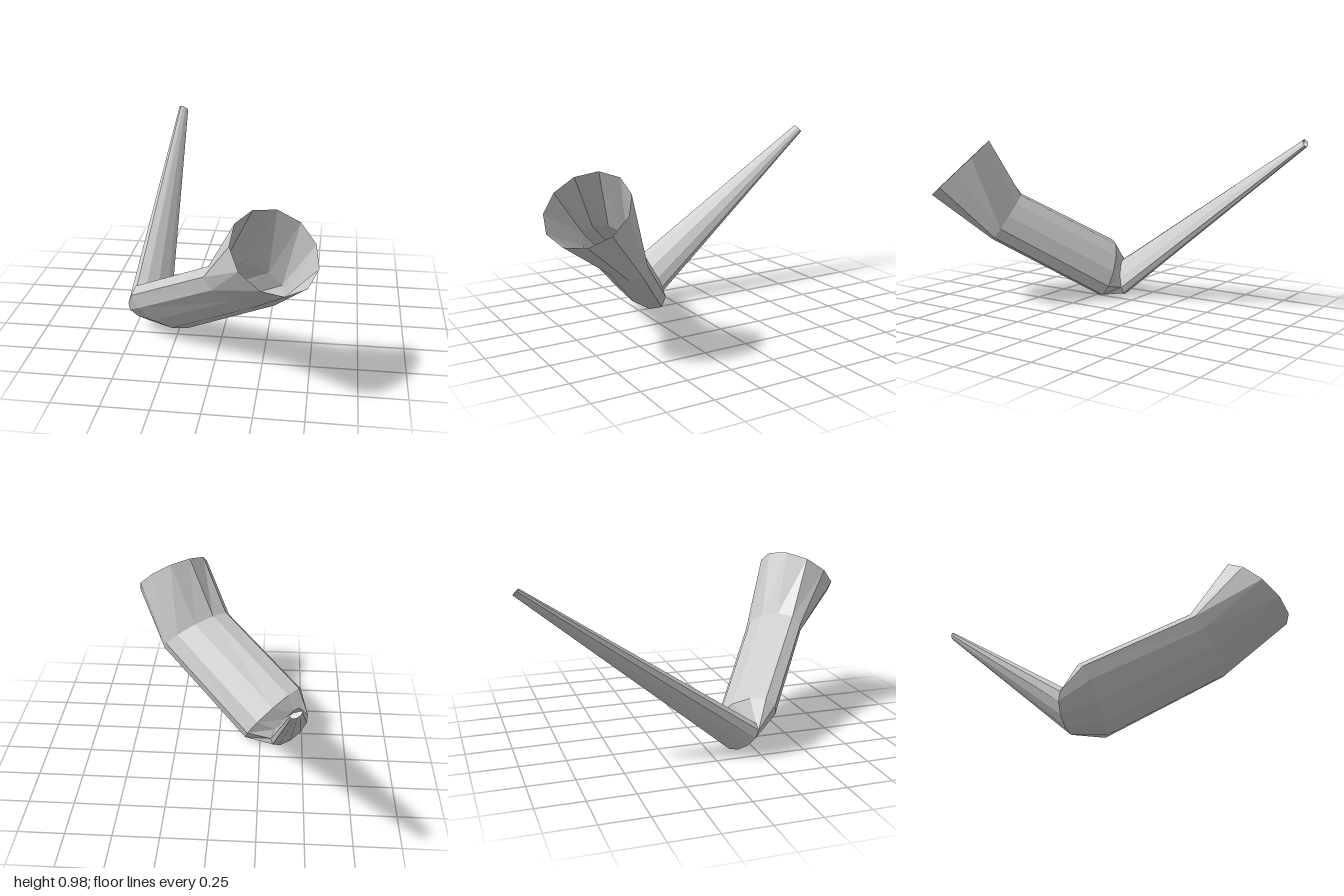
import * as THREE from 'three';

const SIDES = 11;

// Elliptical cross-sections: centre c, wide half-axis u, narrow half-axis v,
// and turn, the offset of the corners in fractions of a side
const mouth = { c: [0.327, 0.791, 0.806], u: [0.205, -0.057, -0.082], v: [-0.03, 0.144, -0.173], turn: 0.05 };
const elbow = { c: [0.165, 0.508, 0.595], u: [0.196, -0.082, -0.079], v: [0, 0.08, -0.072], turn: 0.22 };
const heel = { c: [-0.322, 0.163, 0.23], u: [0.163, -0.12, -0.095], v: [0, 0.08, -0.073], turn: 0.22 };
const stemBase = { c: [-0.423, 0.095, 0.165], u: [0.107, -0.03, -0.045], v: [-0.025, 0.088, 0.035], turn: 0.22 };
const stemTip = { c: [-0.412, 0.962, -0.985], u: [0.027, -0.009, -0.004], v: [-0.002, 0.016, 0.014], turn: 0.22 };

function ringPoint(ring, k) {
  const a = Math.PI + ((k + ring.turn) / SIDES) * Math.PI * 2;
  return ring.c.map((c, i) => c + ring.u[i] * Math.cos(a) + ring.v[i] * Math.sin(a));
}

// Open faceted wall between two cross-sections
function loft(name, from, to, material) {
  const positions = [];
  for (let k = 0; k < SIDES; k++) {
    const a = ringPoint(from, k), b = ringPoint(from, k + 1);
    const c = ringPoint(to, k), d = ringPoint(to, k + 1);
    positions.push(...a, ...c, ...b, ...b, ...c, ...d);
  }
  const geometry = new THREE.BufferGeometry();
  geometry.setAttribute('position', new THREE.Float32BufferAttribute(positions, 3));
  geometry.computeVertexNormals();
  const mesh = new THREE.Mesh(geometry, material);
  mesh.name = name;
  return mesh;
}

export function createModel() {
  const material = new THREE.MeshStandardMaterial({
    color: 0xcccccc, flatShading: true, side: THREE.DoubleSide,
  });
  const model = new THREE.Group();
  model.name = 'bentPipe';
  model.add(
    loft('flaredMouth', mouth, elbow, material),
    loft('flattenedBody', elbow, heel, material),
    loft('lowerBend', heel, stemBase, material),
    loft('taperedStem', stemBase, stemTip, material),
  );
  return model;
}
